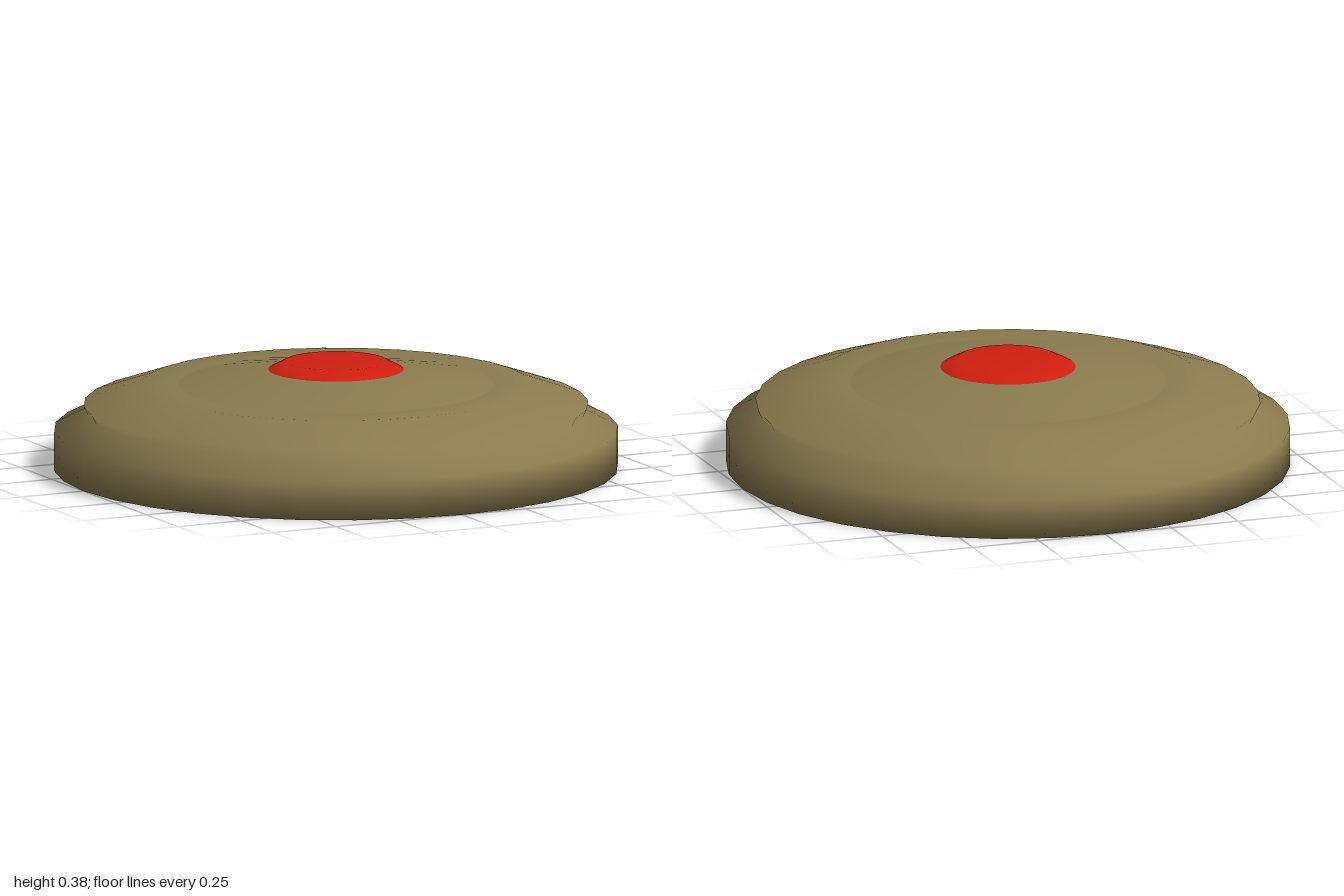
import * as THREE from 'three';

const SIDES = 32;

// Smooth turned part from a profile of [radius, height] pairs, bottom to top
function turned(name, profile, material) {
  const points = profile.map(([r, y]) => new THREE.Vector2(r, y));
  const mesh = new THREE.Mesh(new THREE.LatheGeometry(points, SIDES), material);
  mesh.name = name;
  return mesh;
}

export function createModel() {
  const group = new THREE.Group();
  group.name = 'pressurePlateDisc';
  const olive = new THREE.MeshStandardMaterial({ color: 0x8a7b4e });
  const red = new THREE.MeshStandardMaterial({ color: 0xd01f10 });

  // Casing: flat underside, upright rim, sloped shoulder and stepped lid
  group.add(turned('casing', [
    [0, 0], [1, 0], [1, 0.14], [0.88, 0.2], [0.895, 0.23], [0.69, 0.3], [0.56, 0.3], [0, 0.3],
  ], olive));

  // Shallow cone on the lid
  group.add(turned('pressurePlate', [[0.56, 0.3], [0.24, 0.355], [0, 0.355]], olive));

  // Bevelled button in the middle
  group.add(turned('button', [[0.24, 0.355], [0.18, 0.385], [0, 0.385]], red));

  return group;
}
